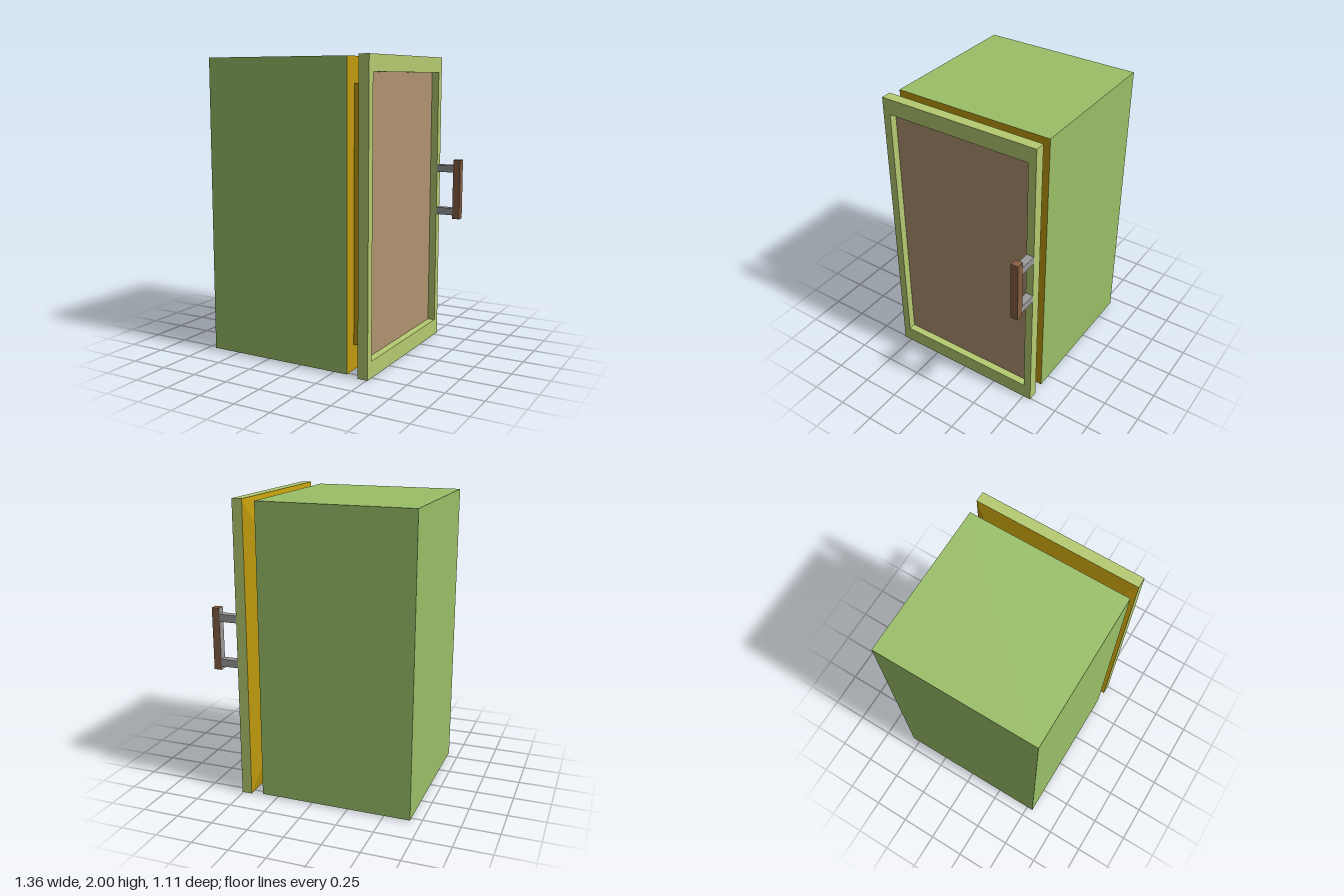
import * as THREE from 'three';

const mat = (color) => new THREE.MeshStandardMaterial({ color, flatShading: true });

// Box given by its min and max on each axis
function box(name, [x0, x1], [y0, y1], [z0, z1], material) {
  const geo = new THREE.BoxGeometry(x1 - x0, y1 - y0, z1 - z0);
  geo.translate((x0 + x1) / 2, (y0 + y1) / 2, (z0 + z1) / 2);
  const mesh = new THREE.Mesh(geo, material);
  mesh.name = name;
  return mesh;
}

// Replace one side of a box material (0 = +x, 1 = -x)
const withSide = (base, index, other) => Array.from({ length: 6 }, (_, i) => (i === index ? other : base));

export function createModel() {
  const group = new THREE.Group();
  group.name = 'cabinet';

  const green = mat(0x9abf67);
  const lightGreen = mat(0xb4ca70);
  const ochre = mat(0xbf9a0c);
  const tan = mat(0xb09370);
  const brown = mat(0x855e44);
  const grey = mat(0x999999);

  // Cabinet body, with the side behind the door in the seal colour
  group.add(box('body', [-0.68, 0.355], [0.01, 1.99], [-0.55, 0.546], withSide(green, 0, ochre)));

  // Seal: a neck, then a flare out to the door's edge
  group.add(box('sealNeck', [0.355, 0.396], [0.18, 1.828], [-0.458, 0.455], ochre));
  const flare = box('sealFlare', [0.396, 0.437], [0, 2], [-0.555, 0.555], ochre);
  const pos = flare.geometry.attributes.position;
  for (let i = 0; i < pos.count; i++) {
    if (pos.getX(i) > 0.41) continue;
    pos.setY(i, pos.getY(i) > 1 ? 1.828 : 0.18);
    pos.setZ(i, pos.getZ(i) > 0 ? 0.456 : -0.458);
  }
  flare.geometry.computeVertexNormals();
  group.add(flare);

  // Door frame with a rectangular opening, turned to face +x
  const rect = (Type, w, y0, y1) => {
    const path = new Type();
    path.moveTo(-w, y0).lineTo(w, y0).lineTo(w, y1).lineTo(-w, y1).closePath();
    return path;
  };
  const outline = rect(THREE.Shape, 0.555, 0, 2);
  outline.holes.push(rect(THREE.Path, 0.502, 0.11, 1.895));
  const frameGeo = new THREE.ExtrudeGeometry(outline, { depth: 0.07, bevelEnabled: false });
  frameGeo.rotateY(Math.PI / 2).translate(0.437, 0, 0);
  const frame = new THREE.Mesh(frameGeo, lightGreen);
  frame.name = 'doorFrame';
  group.add(frame);

  // Recessed door panel
  group.add(box('doorPanel', [0.437, 0.457], [0.11, 1.895], [-0.502, 0.502], tan));

  // Handle: two struts and a grip with a grey inner side
  const handle = new THREE.Group();
  handle.name = 'handle';
  for (const y of [0.92, 1.225]) {
    handle.add(box('handleStrut', [0.507, 0.628], [y - 0.025, y + 0.025], [-0.555, -0.503], grey));
  }
  handle.add(box('handleGrip', [0.628, 0.68], [0.87, 1.29], [-0.555, -0.503], withSide(brown, 1, grey)));
  group.add(handle);

  return group;
}
